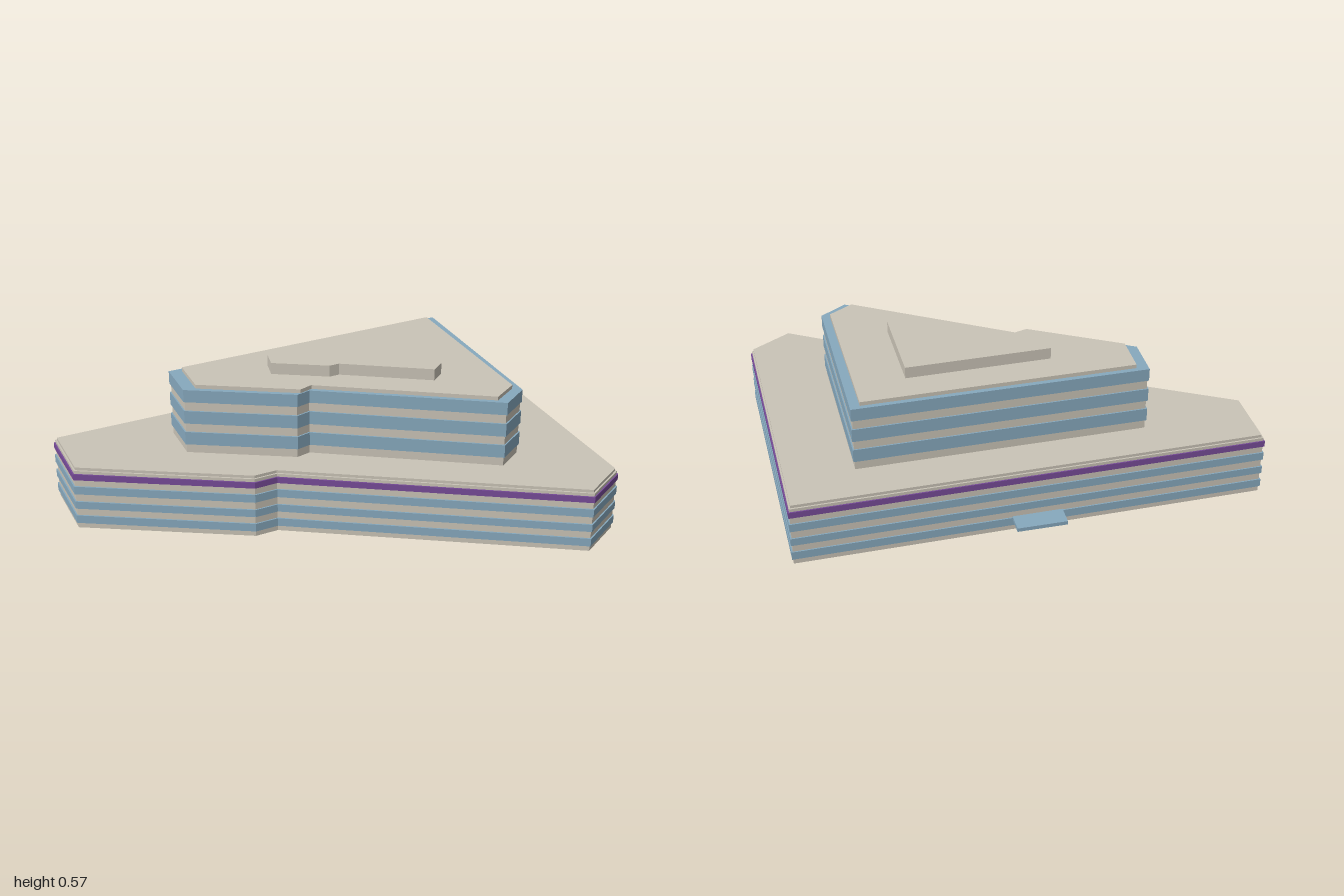
import * as THREE from 'three';

const material = (name, color) => {
  const m = new THREE.MeshStandardMaterial({ color });
  m.name = name;
  return m;
};

// Footprints as [x, z] corners, running from the back left corner round the right side
const PODIUM = [[-1, -0.09], [0.688, -0.593], [0.997, 0.447], [0.868, 0.588], [-0.212, 0.285], [-0.295, 0.311], [-0.932, 0.155]];
const TOWER = [[-0.563, -0.055], [0.485, -0.363], [0.672, 0.28], [0.595, 0.37], [-0.078, 0.172], [-0.125, 0.198], [-0.522, 0.1]];
const TOWER_ROOF = [[-0.515, -0.05], [0.455, -0.336], [0.637, 0.267], [0.565, 0.346], [-0.07, 0.16], [-0.112, 0.187], [-0.477, 0.095]];
const PENTHOUSE = [[-0.205, -0.02], [0.31, -0.175], [0.405, 0.145], [0.37, 0.19], [0.04, 0.094], [0.005, 0.105], [-0.2, 0.052]];
const CANOPY = [[-0.28, -0.382], [-0.1, -0.433], [-0.08, -0.362], [-0.26, -0.309]];

// Moves every edge of a footprint inwards by d
function inset(points, d) {
  const n = points.length;
  const edge = (i) => {
    const [ax, az] = points[i % n], [bx, bz] = points[(i + 1) % n];
    const len = Math.hypot(bx - ax, bz - az);
    const ux = (bx - ax) / len, uz = (bz - az) / len;
    return { x: ax - uz * d, z: az + ux * d, ux, uz };
  };
  return points.map((_, i) => {
    const a = edge(i + n - 1), b = edge(i);
    const t = ((b.x - a.x) * b.uz - (b.z - a.z) * b.ux) / (a.ux * b.uz - a.uz * b.ux);
    return [a.x + a.ux * t, a.z + a.uz * t];
  });
}

// Flat slab with the given footprint between two heights
function slab(name, points, y0, y1, mat) {
  const shape = new THREE.Shape(points.map(([x, z]) => new THREE.Vector2(x, -z)));
  const geo = new THREE.ExtrudeGeometry(shape, { depth: y1 - y0, bevelEnabled: false });
  geo.rotateX(-Math.PI / 2).translate(0, y0, 0);
  const mesh = new THREE.Mesh(geo, mat);
  mesh.name = name;
  return mesh;
}

export function createModel() {
  const stone = material('warm stone', 0xcac4b7);
  const glass = material('blue glass', 0x87a9be);
  const purple = material('purple band', 0x774b98);

  const model = new THREE.Group();
  model.name = 'officeBuilding';

  // Stone and glass storeys alternate; the glass stands slightly proud
  const storeys = (name, outline, heights) => {
    const group = new THREE.Group();
    group.name = name;
    const wall = inset(outline, 0.005);
    for (let i = 0; i < heights.length - 1; i++) {
      const isGlass = i % 2 === 1;
      group.add(slab(isGlass ? 'windowBand' : 'wallBand', isGlass ? outline : wall,
        heights[i], heights[i + 1], isGlass ? glass : stone));
    }
    model.add(group);
    return group;
  };

  // Podium with its purple band and stepped roof edge
  const podium = storeys('podium', PODIUM, [0, 0.022, 0.054, 0.083, 0.113, 0.144, 0.176, 0.203]);
  podium.add(
    slab('purpleBand', PODIUM, 0.203, 0.227, purple),
    slab('cornice', inset(PODIUM, 0.005), 0.227, 0.239, stone),
    slab('podiumRoof', inset(PODIUM, 0.011), 0.239, 0.25, stone),
  );

  // Upper tower, roof slab and plant room
  const tower = storeys('tower', TOWER, [0.25, 0.285, 0.336, 0.371, 0.422, 0.458, 0.507]);
  tower.add(
    slab('towerRoof', TOWER_ROOF, 0.507, 0.522, stone),
    slab('penthouse', PENTHOUSE, 0.522, 0.566, stone),
  );

  // Entrance canopy on the back wall
  model.add(slab('canopy', CANOPY, 0.045, 0.06, glass));
  return model;
}
